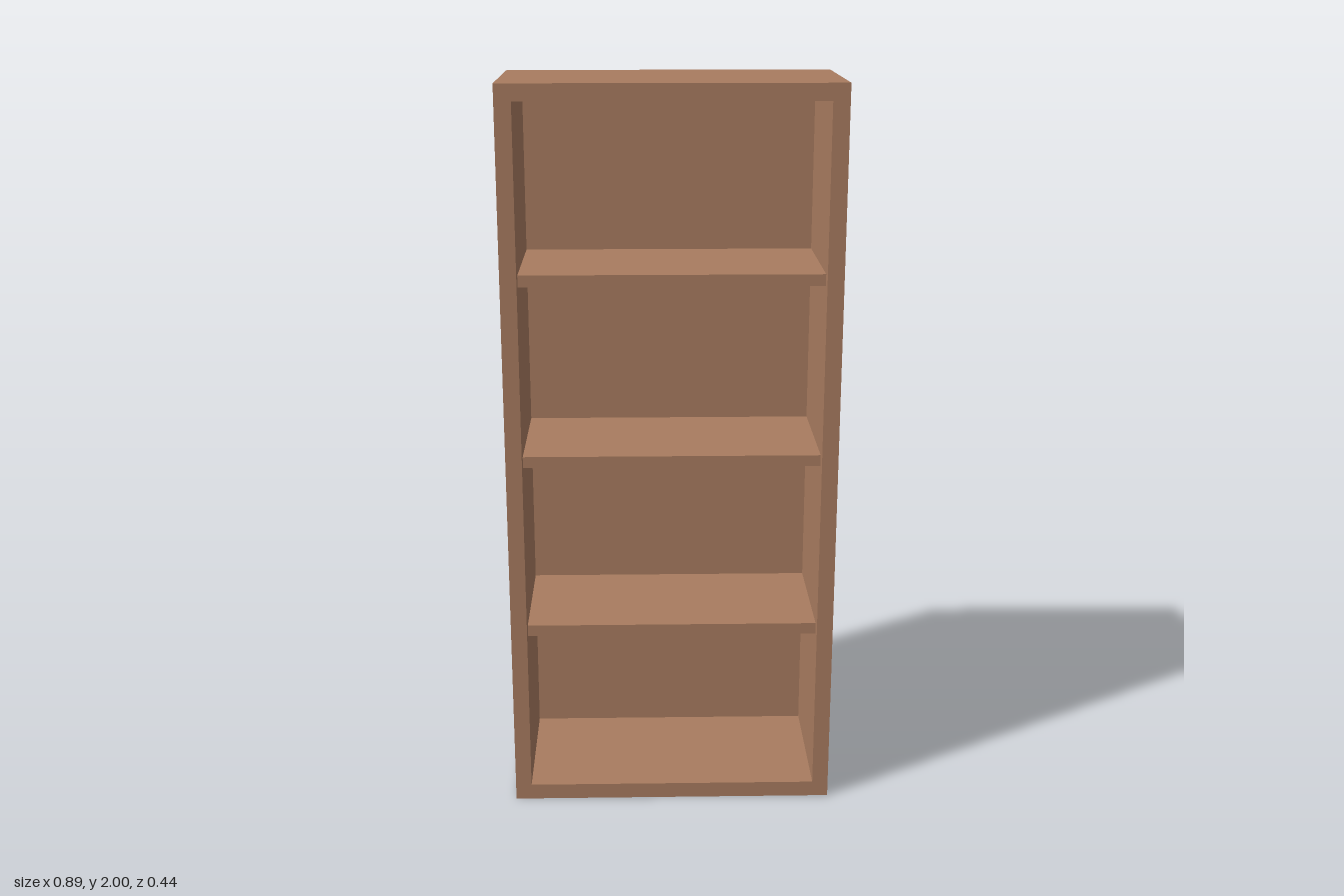
import * as THREE from 'three';

const W = 0.89, H = 2, D = 0.444; // overall size
const T = 0.044;                  // frame panel thickness
const SHELF_T = 0.031, RECESS = 0.035;

export function createModel() {
  const group = new THREE.Group();
  group.name = 'bookcase';
  const wood = new THREE.MeshStandardMaterial({ color: 0xa97c60 });

  const board = (name, w, h, d, x, y, z) => {
    const mesh = new THREE.Mesh(new THREE.BoxGeometry(w, h, d), wood);
    mesh.name = name;
    mesh.position.set(x, y, z);
    group.add(mesh);
  };

  const innerW = W - 2 * T;

  // Outer frame: one extruded ring, so its faces stay seamless
  const outline = new THREE.Shape([
    new THREE.Vector2(-W / 2, 0), new THREE.Vector2(W / 2, 0),
    new THREE.Vector2(W / 2, H), new THREE.Vector2(-W / 2, H),
  ]);
  outline.holes.push(new THREE.Path([
    new THREE.Vector2(-innerW / 2, T), new THREE.Vector2(-innerW / 2, H - T),
    new THREE.Vector2(innerW / 2, H - T), new THREE.Vector2(innerW / 2, T),
  ]));
  const frame = new THREE.Mesh(
    new THREE.ExtrudeGeometry(outline, { depth: D, bevelEnabled: false }), wood);
  frame.name = 'frame';
  frame.position.z = -D / 2;
  group.add(frame);

  // Back panel, flush with the rear of the frame
  board('backPanel', innerW, H - 2 * T, T, 0, H / 2, -D / 2 + T / 2);

  // Shelves, set back slightly from the front edge
  const shelfD = D - T - RECESS;
  [0.507, 1.0, 1.495].forEach((y, i) =>
    board(`shelf${i + 1}`, innerW, SHELF_T, shelfD, 0, y, D / 2 - RECESS - shelfD / 2));

  return group;
}
